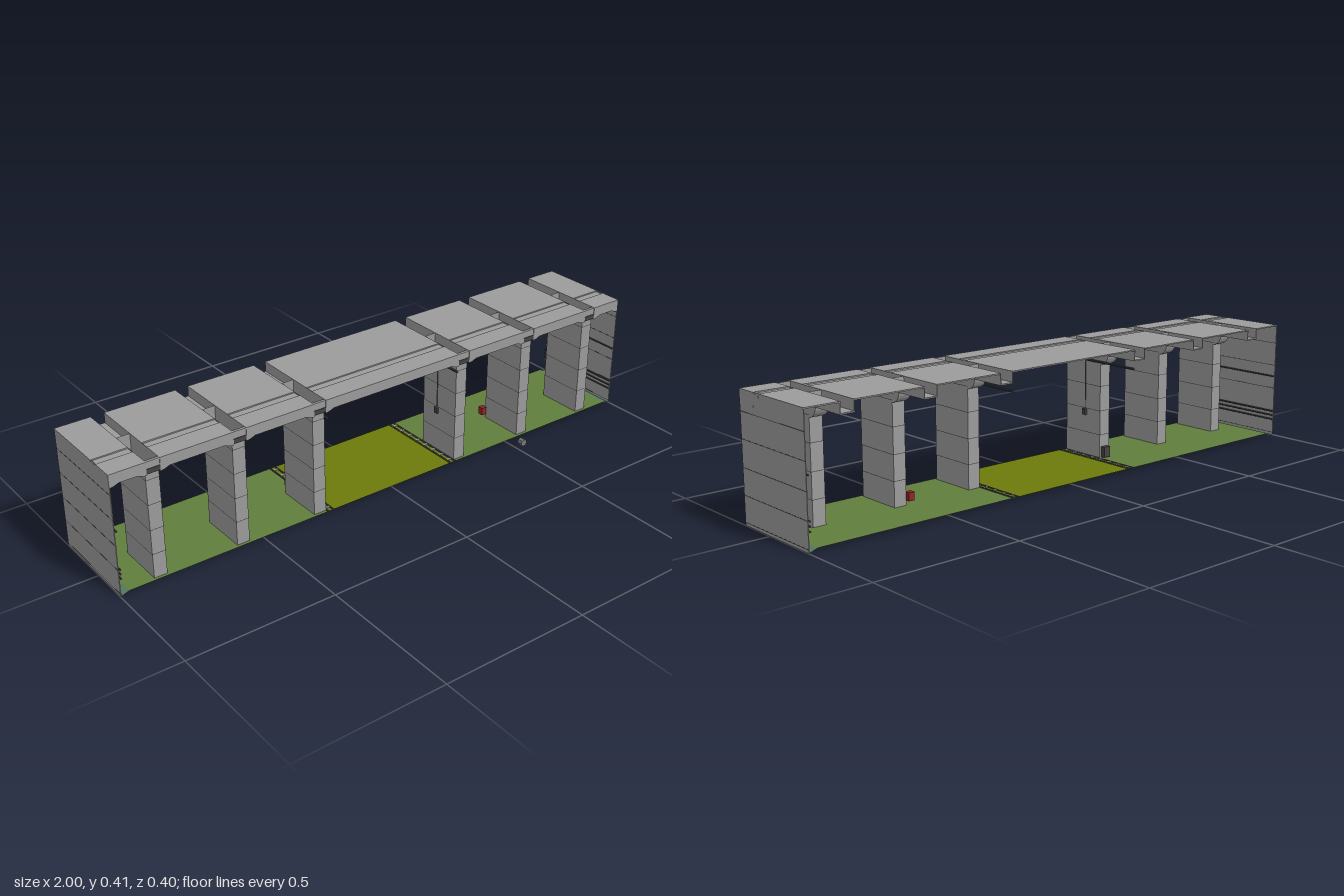
import * as THREE from 'three';

const mat = (color) =>
  new THREE.MeshStandardMaterial({ color, side: THREE.DoubleSide, flatShading: true });
const grey = mat(0x9b9b9b), dark = mat(0x444444), red = mat(0x8c2626);

const FRONT = 0.135, BACK = -0.2, TOP = 0.408, UNDER = 0.37;
const PILLARS = [-0.86, -0.573, -0.287, 0.287, 0.573, 0.86];
const HALF = 0.022, P_BACK = -0.04, P_FRONT = 0.124;
const SEAMS = [0.01, 0.092, 0.175, 0.26, 0.342];

export function createModel() {
  const root = new THREE.Group();
  const add = (name, geo, m = grey, parent = root) => {
    const mesh = new THREE.Mesh(geo, m);
    mesh.name = name;
    parent.add(mesh);
    return mesh;
  };
  // Box given by its limits on each axis
  const box = (name, x0, x1, y0, y1, z0, z1, m = grey, parent = root) => {
    const mesh = add(name, new THREE.BoxGeometry(Math.abs(x1 - x0), y1 - y0, z1 - z0), m, parent);
    mesh.position.set((x0 + x1) / 2, (y0 + y1) / 2, (z0 + z1) / 2);
    return mesh;
  };
  // Four-sided tube without top or bottom
  const tube = (name, x0, x1, y0, y1, z0, z1, m, parent) => {
    const { geometry } = box(name, x0, x1, y0, y1, z0, z1, m, parent);
    const idx = Array.from(geometry.index.array);
    geometry.setIndex([...idx.slice(0, 12), ...idx.slice(24)]);
    geometry.clearGroups();
  };
  // Round bar along z
  const bar = (name, x, y, z0, z1, r, m = dark) => {
    const mesh = add(name, new THREE.CylinderGeometry(r, r, z1 - z0, 8), m);
    mesh.rotation.x = Math.PI / 2;
    mesh.position.set(x, y, (z0 + z1) / 2);
  };

  // Ground panels, with an opening under every pillar
  const ground = (name, x0, x1, color) => {
    const s = new THREE.Shape();
    s.moveTo(x0, BACK).lineTo(x1, BACK).lineTo(x1, FRONT).lineTo(x0, FRONT).closePath();
    for (const p of PILLARS) {
      if (p < x0 || p > x1) continue;
      const h = new THREE.Path();
      h.moveTo(p - HALF, P_BACK).lineTo(p - HALF, P_FRONT);
      h.lineTo(p + HALF, P_FRONT).lineTo(p + HALF, P_BACK).closePath();
      s.holes.push(h);
    }
    const g = new THREE.ShapeGeometry(s).rotateX(Math.PI / 2);
    add(name, g, mat(color)).position.y = 0.01;
  };
  ground('groundMiddle', -0.255, 0.255, 0x6b7a0a);
  ground('groundRight', -0.97, -0.255, 0x607e3c);
  ground('groundLeft', 0.255, 0.97, 0x607e3c);

  for (const s of [-1, 1]) {
    // Sloping bank at the foot of the end wall
    const bank = new THREE.PlaneGeometry(0.03, FRONT - BACK).rotateX(-Math.PI / 2);
    const pos = bank.attributes.position;
    for (let i = 0; i < pos.count; i++) pos.setY(i, pos.getX(i) * s > 0 ? 0 : 0.01);
    add('bank', bank, mat(0x587a62)).position.set(s * 0.985, 0, (FRONT + BACK) / 2);

    // Thin end wall with dark seams between its courses
    const wall = new THREE.Group();
    wall.name = 'endWall';
    root.add(wall);
    box('wallPanel', s * 0.997, s * 0.9995, 0, TOP, BACK, FRONT, grey, wall);
    for (const y of SEAMS) {
      box('wallSeam', s * 0.9965, s, y - 0.001, y + 0.001, BACK, FRONT, dark, wall);
    }

    // Pipes along the inside of the wall
    for (const y of [0.06, 0.075, 0.09, 0.22]) bar('wallPipe', s * 0.992, y, BACK, FRONT, 0.003);

    // Conduit under the roof, cable and lamp on the central pillars
    const edge = s * (PILLARS[3] - HALF);
    bar('roofConduit', edge - s * 0.005, 0.345, BACK, FRONT, 0.004);
    box('cable', edge, edge - s * 0.002, 0.17, 0.345, 0.03, 0.032, dark);
    box('lamp', edge, edge - s * 0.008, 0.152, 0.172, 0.024, 0.04, dark);

    // Rails crossing the floor, with sleepers
    for (const x of [0.243, 0.262]) bar('floorRail', s * x, 0.01, BACK, FRONT, 0.0035);
    for (let i = 0; i < 8; i++) {
      const z = BACK + 0.02 + i * 0.042;
      box('railSleeper', s * 0.24, s * 0.264, 0.0105, 0.0125, z - 0.004, z + 0.004);
    }
  }

  for (const p of PILLARS) {
    const a = p - HALF, b = p + HALF;
    // Hollow pillar with dark seams between its courses
    const pillar = new THREE.Group();
    pillar.name = 'pillar';
    root.add(pillar);
    tube('pillarShaft', a, b, 0.01, TOP, P_BACK, P_FRONT, grey, pillar);
    for (const y of SEAMS.slice(1)) {
      tube('pillarSeam', a - 0.0005, b + 0.0005, y - 0.001, y + 0.001,
        P_BACK - 0.0005, P_FRONT + 0.0005, dark, pillar);
    }
    // Dark capital on the front
    box('capital', a, b, 0.368, 0.384, P_FRONT, FRONT, dark, pillar);

    // Open roof channel running to the back
    box('channelFloor', a, b, UNDER, UNDER + 0.004, BACK, P_BACK);
    box('channelSide', a - 0.002, a, UNDER, TOP, BACK, P_BACK);
    box('channelSide', b, b + 0.002, UNDER, TOP, BACK, P_BACK);

    // Curved corbel between pillar and channel
    const c = new THREE.Shape();
    c.moveTo(0, 0).lineTo(0.035, 0).quadraticCurveTo(0.03, -0.032, 0, -0.036).closePath();
    const g = new THREE.ExtrudeGeometry(c, { depth: HALF * 2, bevelEnabled: false, curveSegments: 5 });
    g.translate(0, 0, -HALF).rotateY(Math.PI / 2);
    add('corbel', g).position.set(p, UNDER, P_BACK);
  }

  // Roof bays between the pillars: slab, shallow groove and front beam with haunched ends
  const edges = [-1, ...PILLARS.flatMap((p) => [p - HALF, p + HALF]), 1];
  for (let i = 0; i < edges.length; i += 2) {
    const x0 = edges[i], x1 = edges[i + 1];
    box('roofSlab', x0, x1, TOP - 0.004, TOP, BACK, 0.03);
    box('beamBack', x0, x1, 0.373, TOP - 0.004, 0.03, 0.06);
    const s = new THREE.Shape();
    s.moveTo(x0, TOP).lineTo(x0, 0.364).lineTo(x0 + 0.012, 0.366).lineTo(x0 + 0.03, 0.373);
    s.lineTo(x1 - 0.03, 0.373).lineTo(x1 - 0.012, 0.366).lineTo(x1, 0.364).lineTo(x1, TOP).closePath();
    const beam = new THREE.ExtrudeGeometry(s, { depth: FRONT - 0.06, bevelEnabled: false });
    add('frontBeam', beam).position.z = 0.06;
  }
  // Continuous fascia over the pillar fronts
  box('fascia', -0.999, 0.999, 0.376, TOP - 0.001, P_FRONT, FRONT - 0.002);

  // Loose props
  bar('barrel', 0.517, 0.0225, 0.18, 0.2, 0.0125, mat(0x777777));
  box('redBox', 0.532, 0.552, 0.025, 0.052, -0.055, -0.035, red);
  box('cabinet', -0.3, -0.272, 0.014, 0.05, -0.056, P_BACK, dark);

  return root;
}
